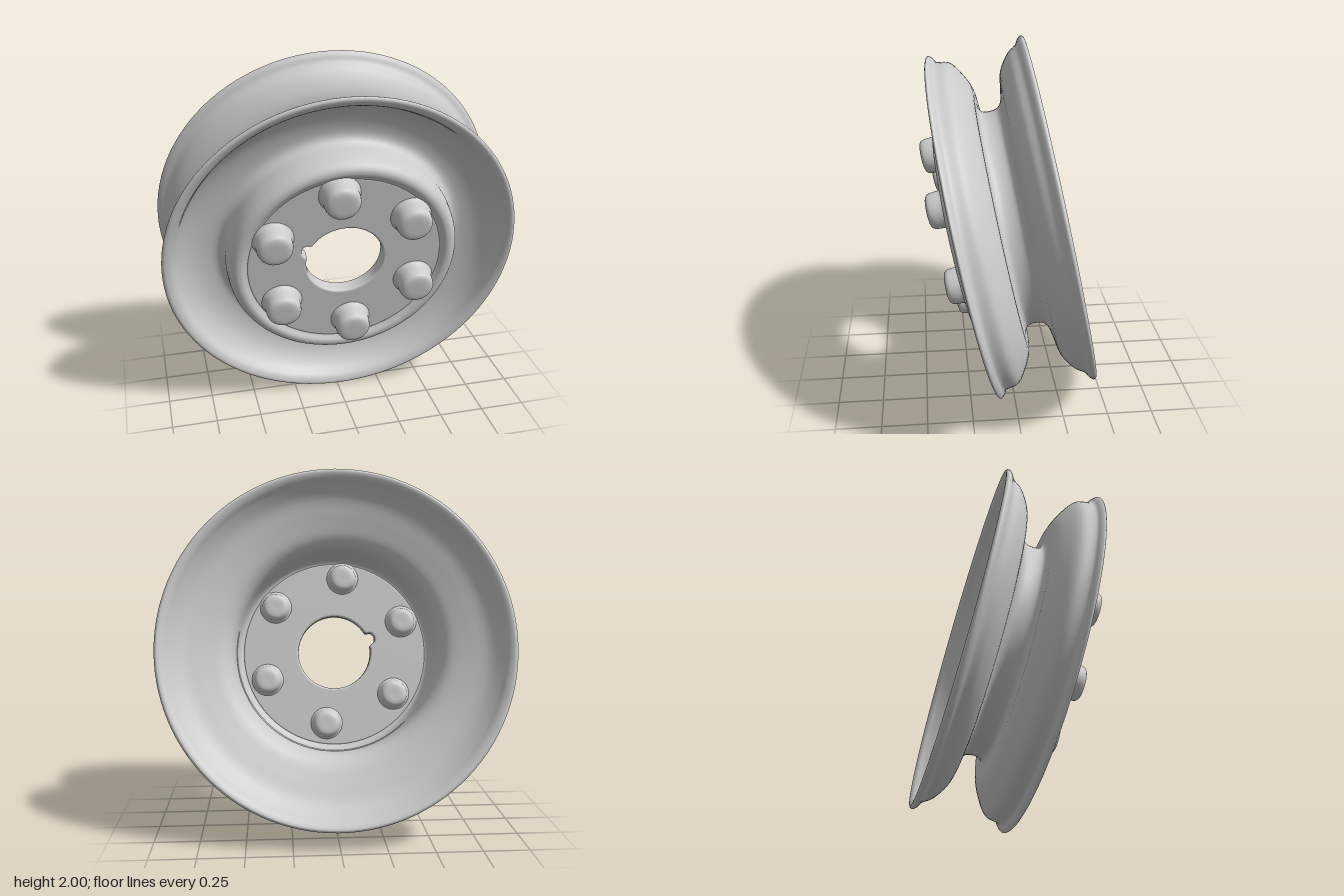
import * as THREE from 'three';

const material = new THREE.MeshStandardMaterial({ color: 0xcccccc });
const TAU = Math.PI * 2;

// Revolve a profile of [radius, axial position] around the wheel axis (z)
function revolve(profile, closed, samples, segments) {
  const curve = new THREE.CatmullRomCurve3(
    profile.map(([r, s]) => new THREE.Vector3(r, s, 0)), closed, 'centripetal');
  const points = curve.getPoints(samples).map(p => new THREE.Vector2(Math.max(p.x, 0), p.y));
  return new THREE.LatheGeometry(points, segments).rotateX(Math.PI / 2);
}

function addMesh(parent, name, geometry) {
  const mesh = new THREE.Mesh(geometry, material);
  mesh.name = name;
  parent.add(mesh);
  return mesh;
}

export function createModel() {
  const model = new THREE.Group();
  model.name = 'wheelRim';

  // The whole wheel leans forward and turns slightly
  const wheel = new THREE.Group();
  wheel.name = 'tiltedWheel';
  wheel.position.set(-0.003, 1.0, -0.013);
  wheel.rotation.set(0.205, -0.037, 0);
  model.add(wheel);

  // Flanges, centre groove and raised hub shoulder in one closed section
  const rimProfile = [
    // outside, back lip to front lip
    [0.955, -0.268], [0.968, -0.255], [0.955, -0.235], [0.925, -0.215], [0.89, -0.165],
    [0.80, -0.105], [0.70, -0.085], [0.635, -0.068], [0.61, -0.04],
    [0.61, 0.035], [0.64, 0.055], [0.745, 0.06], [0.837, 0.10], [0.91, 0.156],
    [0.928, 0.225], [0.955, 0.243], [0.967, 0.258], [0.953, 0.268],
    // front dish up to the hub shoulder
    [0.915, 0.25], [0.885, 0.195], [0.82, 0.14], [0.73, 0.11], [0.665, 0.11],
    [0.635, 0.14], [0.63, 0.22], [0.618, 0.285], [0.59, 0.315], [0.56, 0.318],
    [0.535, 0.303], [0.515, 0.29],
    // inner barrel and back dish
    [0.515, 0.23], [0.54, 0.215], [0.555, 0.17], [0.56, 0.06], [0.575, -0.03],
    [0.62, -0.085], [0.72, -0.125], [0.83, -0.165], [0.895, -0.22], [0.925, -0.255],
  ];
  addMesh(wheel, 'rim', revolve(rimProfile, true, 180, 112));

  // Mounting disc with a notched centre hole
  const shape = new THREE.Shape().absarc(0, 0, 0.52, 0, TAU, false);
  const holePoints = [];
  const notchAngle = 2.78;
  for (let i = 0; i < 144; i++) {
    const a = -(i / 144) * TAU + TAU;
    const t = Math.min(Math.abs(a - notchAngle) / 0.2, 1);
    const r = 0.222 + 0.04 * Math.sqrt(1 - t * t);
    holePoints.push(new THREE.Vector2(r * Math.cos(a), r * Math.sin(a) + 0.008));
  }
  shape.holes.push(new THREE.Path(holePoints));
  const disc = addMesh(wheel, 'mountingDisc', new THREE.ExtrudeGeometry(shape, {
    depth: 0.05, bevelEnabled: true, bevelThickness: 0.015, bevelSize: 0.012,
    bevelSegments: 4, curveSegments: 72,
  }));
  disc.position.z = 0.235;

  // Six rounded studs running through the disc
  const studProfile = [
    [0, 0.16], [0.055, 0.162], [0.073, 0.178], [0.083, 0.212], [0.10, 0.228],
    [0.118, 0.29], [0.108, 0.304], [0.099, 0.325], [0.095, 0.375],
    [0.088, 0.397], [0.07, 0.408], [0, 0.411],
  ];
  const studGeometry = revolve(studProfile, false, 44, 36);
  for (let i = 0; i < 6; i++) {
    const a = THREE.MathUtils.degToRad(97 + i * 60);
    const stud = addMesh(wheel, 'stud' + (i + 1), studGeometry);
    stud.position.set(0.425 * Math.cos(a), 0.425 * Math.sin(a) + 0.018, 0);
  }

  return model;
}
